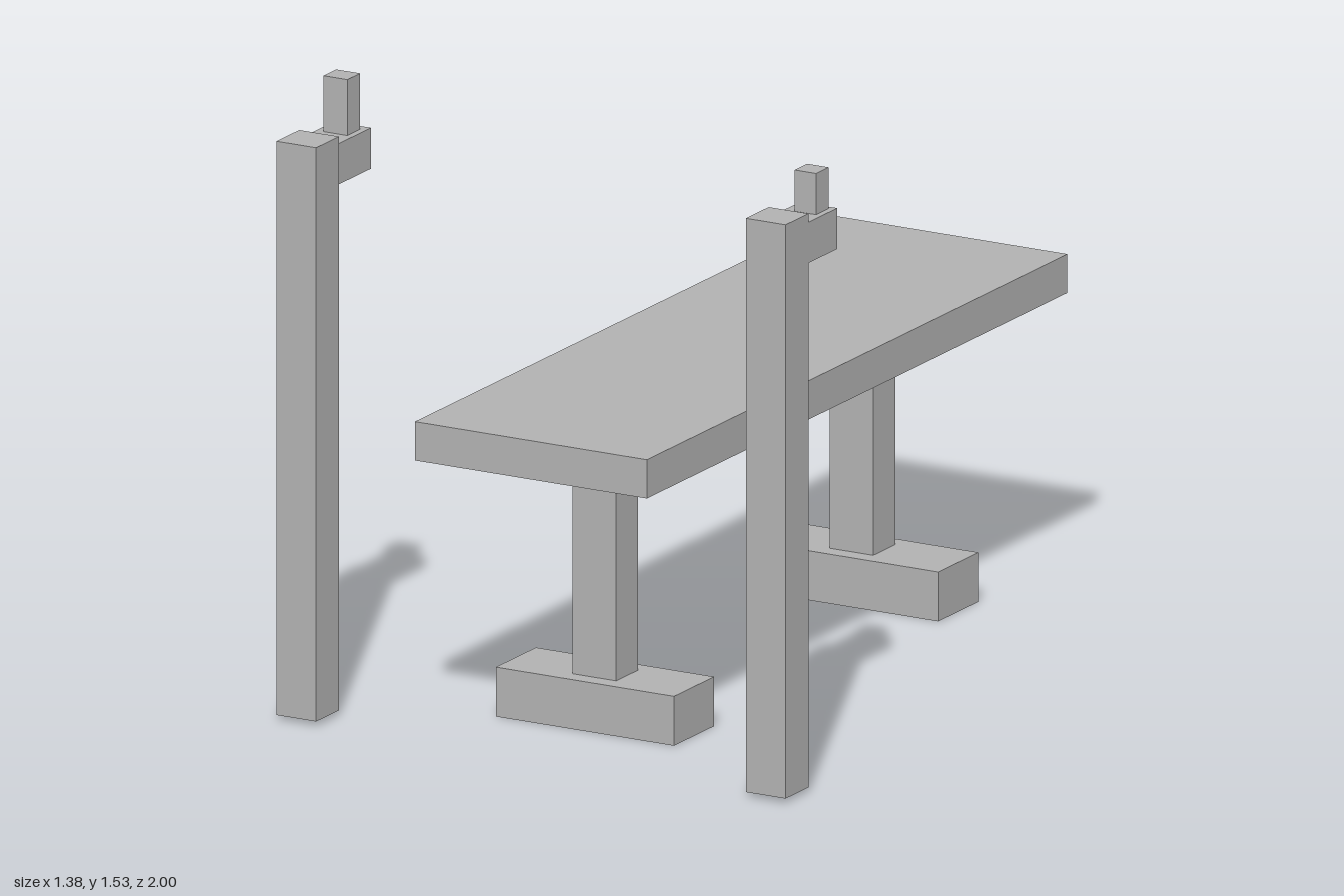
import * as THREE from 'three';

export function createModel() {
  const group = new THREE.Group();
  const grey = new THREE.MeshStandardMaterial({ color: 0xb2b2b2 });
  grey.name = 'plain grey';

  // Adds a box spanning the given [min, max] ranges
  const block = (name, [x0, x1], [y0, y1], [z0, z1]) => {
    const mesh = new THREE.Mesh(new THREE.BoxGeometry(x1 - x0, y1 - y0, z1 - z0), grey);
    mesh.position.set((x0 + x1) / 2, (y0 + y1) / 2, (z0 + z1) / 2);
    mesh.name = name;
    group.add(mesh);
  };

  // Bench board
  block('benchTop', [-0.333, 0.297], [0.682, 0.777], [-1, 0.972]);

  // Pedestals: a leg on a wide foot; the rear foot sits slightly to the left
  for (const [side, z, footX] of [['front', 0.623, -0.019], ['rear', -0.581, 0.001]]) {
    block(side + 'Leg', [-0.077, 0.041], [0.121, 0.682], [z - 0.051, z + 0.051]);
    block(side + 'Foot', [footX - 0.242, footX + 0.242], [0, 0.121], [z - 0.094, z + 0.094]);
  }

  // Uprights, each with a bracket arm and a stop peg
  block('rightPost', [-0.693, -0.585], [0.012, 1.418], [0.893, 1]);
  block('rightArm', [-0.693, -0.592], [1.297, 1.397], [0.731, 0.893]);
  block('rightPeg', [-0.673, -0.608], [1.397, 1.534], [0.754, 0.814]);
  block('leftPost', [0.582, 0.69], [0.012, 1.418], [0.893, 1]);
  block('leftArm', [0.589, 0.69], [1.297, 1.397], [0.758, 0.893]);
  block('leftPeg', [0.616, 0.674], [1.397, 1.498], [0.771, 0.83]);

  return group;
}
